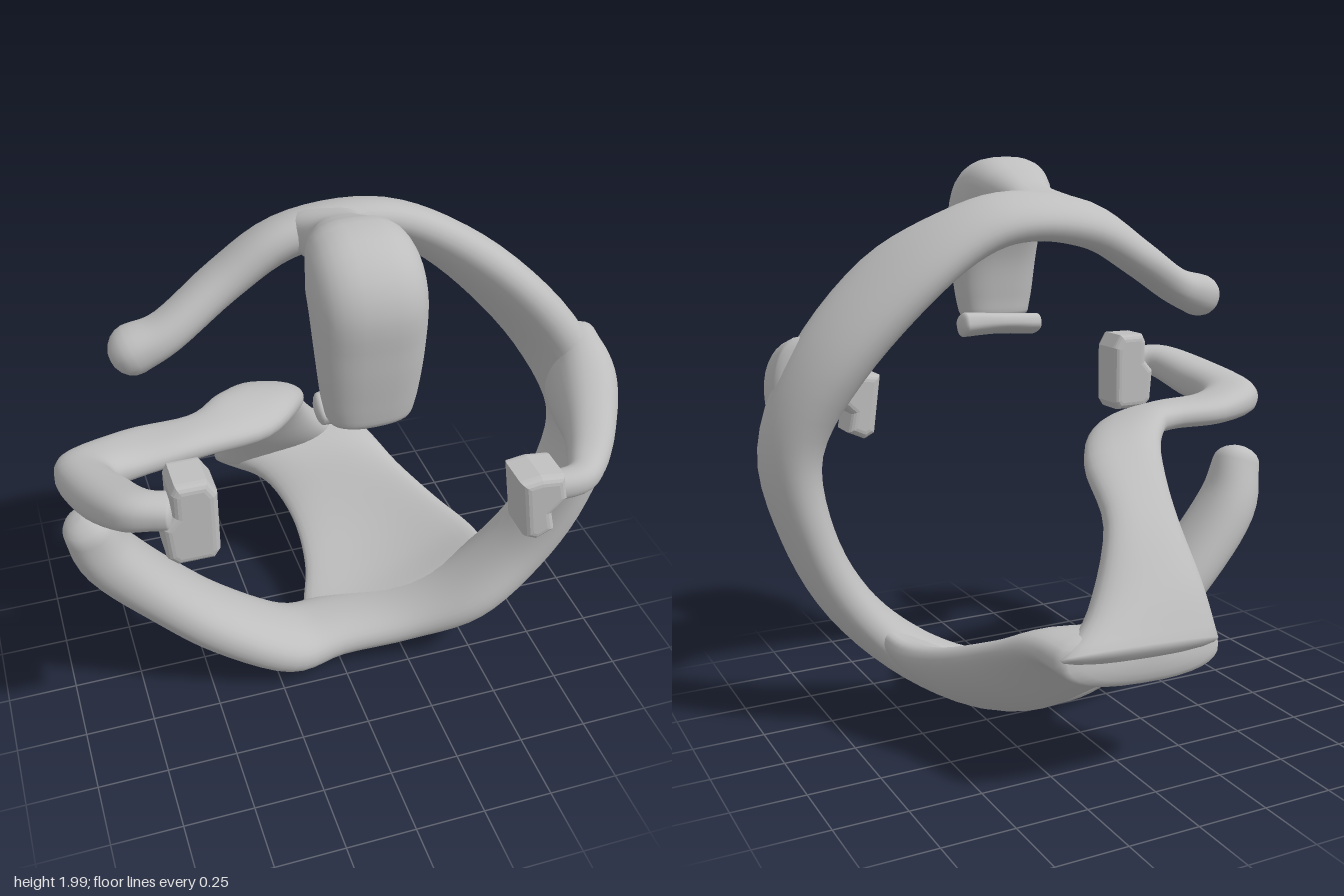
import * as THREE from 'three';

const grey = new THREE.MeshStandardMaterial({ color: 0xbebebe });
grey.name = 'plain grey';

// Sweep of rounded sections. Each row: centre xyz, half-width vector xyz, half thickness, sag.
// cap = [start, end] lengths of the rounded ends; power 1 gives ellipses, less gives squarer sections.
function sweep(name, rows, cap, power = 0.75) {
  const perRow = 5, sides = 32, capSteps = 5;
  const curve = (f) => new THREE.CatmullRomCurve3(rows.map(f), false, 'catmullrom', 0.5);
  const centre = curve((r) => new THREE.Vector3(r[0], r[1], r[2]));
  const width = curve((r) => new THREE.Vector3(r[3], r[4], r[5]));
  const extra = curve((r) => new THREE.Vector3(r[6], r[7] || 0, 0));
  const pos = [], index = [];
  const round = (c) => Math.sign(c) * Math.pow(Math.abs(c), power);

  const addRing = (t, scale, shift) => {
    const T = centre.getTangent(t).normalize();
    const c = centre.getPoint(t).addScaledVector(T, shift);
    const u = width.getPoint(t), e = extra.getPoint(t);
    const n = new THREE.Vector3().crossVectors(T, u).normalize();
    for (let j = 0; j < sides; j++) {
      const a = (j / sides) * Math.PI * 2;
      const x = round(Math.cos(a)) * scale;
      const y = round(Math.sin(a)) * scale * e.x + e.y * (1 - x * x);
      const p = c.clone().addScaledVector(u, x).addScaledVector(n, y);
      pos.push(p.x, p.y, p.z);
    }
  };

  const steps = (rows.length - 1) * perRow;
  const capAngle = (k) => (k / capSteps) * Math.PI / 2;
  for (let k = capSteps; k > 0; k--) {
    addRing(0, Math.max(Math.cos(capAngle(k)), 0.001), -cap[0] * Math.sin(capAngle(k)));
  }
  for (let i = 0; i <= steps; i++) addRing(i / steps, 1, 0);
  for (let k = 1; k <= capSteps; k++) {
    addRing(1, Math.max(Math.cos(capAngle(k)), 0.001), cap[1] * Math.sin(capAngle(k)));
  }
  const rings = steps + 1 + capSteps * 2;
  for (let i = 0; i < rings - 1; i++) {
    for (let j = 0; j < sides; j++) {
      const a = i * sides + j, b = i * sides + ((j + 1) % sides);
      index.push(a, b, a + sides, b, b + sides, a + sides);
    }
  }
  const g = new THREE.BufferGeometry();
  g.setAttribute('position', new THREE.Float32BufferAttribute(pos, 3));
  g.setIndex(index);
  g.computeVertexNormals();
  const m = new THREE.Mesh(g, grey);
  m.name = name;
  return m;
}

// Block hand: a rounded outline extruded along z
function hand(name, outline, z0, z1) {
  const b = 0.028;
  const shape = new THREE.Shape(outline.map((p) => new THREE.Vector2(p[0], p[1])));
  const g = new THREE.ExtrudeGeometry(shape, {
    depth: z1 - z0 - 2 * b, bevelEnabled: true, bevelSize: b, bevelOffset: -b,
    bevelThickness: b, bevelSegments: 4,
  });
  g.translate(0, 0, z0 + b);
  const m = new THREE.Mesh(g, grey);
  m.name = name;
  return m;
}

export function createModel() {
  const model = new THREE.Group();
  model.name = 'ringFigure';

  // Open ring, front edge tilted outwards: from the upper right tip, over the top,
  // down the left and round to the lower right tip
  model.add(sweep('openRing', [
    [-0.665, 1.49, 0.065, 0, 0, 0.09, 0.078],
    [-0.55, 1.535, 0.06, 0, 0.01, 0.085, 0.066],
    [-0.35, 1.65, 0.0, -0.01, 0.025, 0.105, 0.068],
    [-0.15, 1.765, -0.01, -0.01, 0.045, 0.115, 0.072],
    [0.1, 1.8, 0, 0.01, 0.05, 0.12, 0.068],
    [0.3, 1.745, 0.03, 0.025, 0.045, 0.13, 0.072],
    [0.52, 1.59, 0.1, 0.045, 0.04, 0.175, 0.085],
    [0.75, 1.32, 0.15, 0.05, 0.02, 0.16, 0.095],
    [0.87, 1.02, 0.22, 0.025, 0, 0.145, 0.095],
    [0.82, 0.72, 0.225, 0.01, 0, 0.145, 0.085],
    [0.69, 0.46, 0.205, 0, 0, 0.15, 0.085],
    [0.48, 0.25, 0.18, 0, 0.02, 0.17, 0.085],
    [0.25, 0.13, 0.1, 0, 0.03, 0.17, 0.082],
    [0, 0.095, 0.07, 0, 0.02, 0.155, 0.083],
    [-0.2, 0.11, 0.095, 0, 0, 0.16, 0.095],
    [-0.45, 0.26, 0.07, 0, 0, 0.155, 0.1],
    [-0.65, 0.45, 0.055, 0, 0, 0.145, 0.1],
    [-0.82, 0.66, 0.06, 0, 0, 0.125, 0.105],
    [-0.88, 0.82, 0.085, 0, -0.02, 0.085, 0.09],
  ], [0.08, 0.065], 0.92));

  // Neck bending over into the hanging head
  model.add(sweep('neckAndHead', [
    [-0.02, 1.8, 0.03, 0.14, 0, 0, 0.07],
    [-0.015, 1.815, 0.17, 0.1, 0, 0, 0.092],
    [-0.03, 1.845, 0.3, 0.135, 0, 0, 0.115],
    [-0.03, 1.855, 0.4, 0.165, 0, 0, 0.14],
    [-0.03, 1.795, 0.475, 0.172, 0, 0, 0.146],
    [-0.03, 1.65, 0.503, 0.165, 0, 0, 0.112],
    [-0.03, 1.5, 0.507, 0.15, 0, 0, 0.09],
    [-0.03, 1.42, 0.505, 0.135, 0, 0, 0.08],
  ], [0.02, 0.04]));

  // Small bar under the head
  model.add(sweep('chinBar', [
    [-0.15, 1.375, 0.4, 0, -0.02, 0.05, 0.035],
    [0, 1.385, 0.39, 0, -0.02, 0.07, 0.035],
    [0.15, 1.39, 0.375, 0, -0.02, 0.05, 0.042],
  ], [0.02, 0.02]));

  // Left arm: flared shoulder narrowing to a thin wrist
  model.add(sweep('leftArm', [
    [0.82, 1.21, 0.22, 0, 0.2, 0, 0.095],
    [0.8, 1.2, 0.35, 0, 0.17, 0, 0.11],
    [0.75, 1.165, 0.5, 0, 0.1, 0, 0.085],
    [0.69, 1.13, 0.61, 0, 0.065, 0, 0.065],
    [0.62, 1.125, 0.68, 0, 0.05, 0, 0.05],
    [0.48, 1.12, 0.68, 0, 0.05, 0, 0.045],
  ], [0.03, 0.02], 0.9));
  model.add(hand('leftHand', [
    [0.4, 1.19], [0.43, 0.97], [0.47, 0.95], [0.535, 0.98],
    [0.52, 1.05], [0.57, 1.1], [0.55, 1.19], [0.47, 1.2],
  ], 0.58, 0.74));

  // Upper band: rises from the rear end, turns sideways and becomes the right arm
  model.add(sweep('upperBandAndRightArm', [
    [0.025, 0.468, -0.68, 0.3, 0.02, -0.01, 0.085],
    [-0.05, 0.61, -0.59, 0.21, -0.01, 0, 0.085],
    [-0.11, 0.82, -0.45, 0.135, 0, 0, 0.064],
    [-0.155, 0.98, -0.26, 0.13, -0.01, 0.04, 0.062],
    [-0.29, 1.045, -0.085, 0.08, -0.02, 0.1, 0.055],
    [-0.48, 1.06, 0.0, 0, 0, 0.1, 0.05],
    [-0.7, 1.06, 0.03, 0.01, 0, 0.11, 0.055],
    [-0.865, 1.08, 0.12, 0.085, 0, 0.07, 0.07],
    [-0.84, 1.12, 0.3, 0.1, 0, 0.025, 0.078],
    [-0.765, 1.175, 0.47, 0.07, 0, -0.03, 0.065],
    [-0.66, 1.18, 0.51, 0.03, 0, -0.06, 0.055],
  ], [0.04, 0.02], 0.85));
  model.add(hand('rightHand', [
    [-0.69, 1.03], [-0.66, 1.0], [-0.54, 1.0], [-0.52, 1.03], [-0.52, 1.25],
    [-0.55, 1.3], [-0.65, 1.3], [-0.665, 1.27], [-0.665, 1.19], [-0.7, 1.15],
  ], 0.41, 0.57));

  // Lower sheet: spreads from the bottom of the ring back to the rear end
  model.add(sweep('lowerSheet', [
    [0.25, 0.21, 0.1, 0.37, 0.16, 0, 0.075, 0.08],
    [0.26, 0.225, -0.06, 0.34, 0.135, 0, 0.075, 0.07],
    [0.25, 0.275, -0.22, 0.275, 0.11, 0, 0.065, 0.05],
    [0.2, 0.36, -0.4, 0.225, 0.09, 0, 0.06, 0.02],
    [0.13, 0.44, -0.55, 0.235, 0.06, 0, 0.075],
    [0.025, 0.46, -0.69, 0.3, 0.02, -0.01, 0.095],
  ], [0.03, 0.045], 0.8));

  return model;
}
